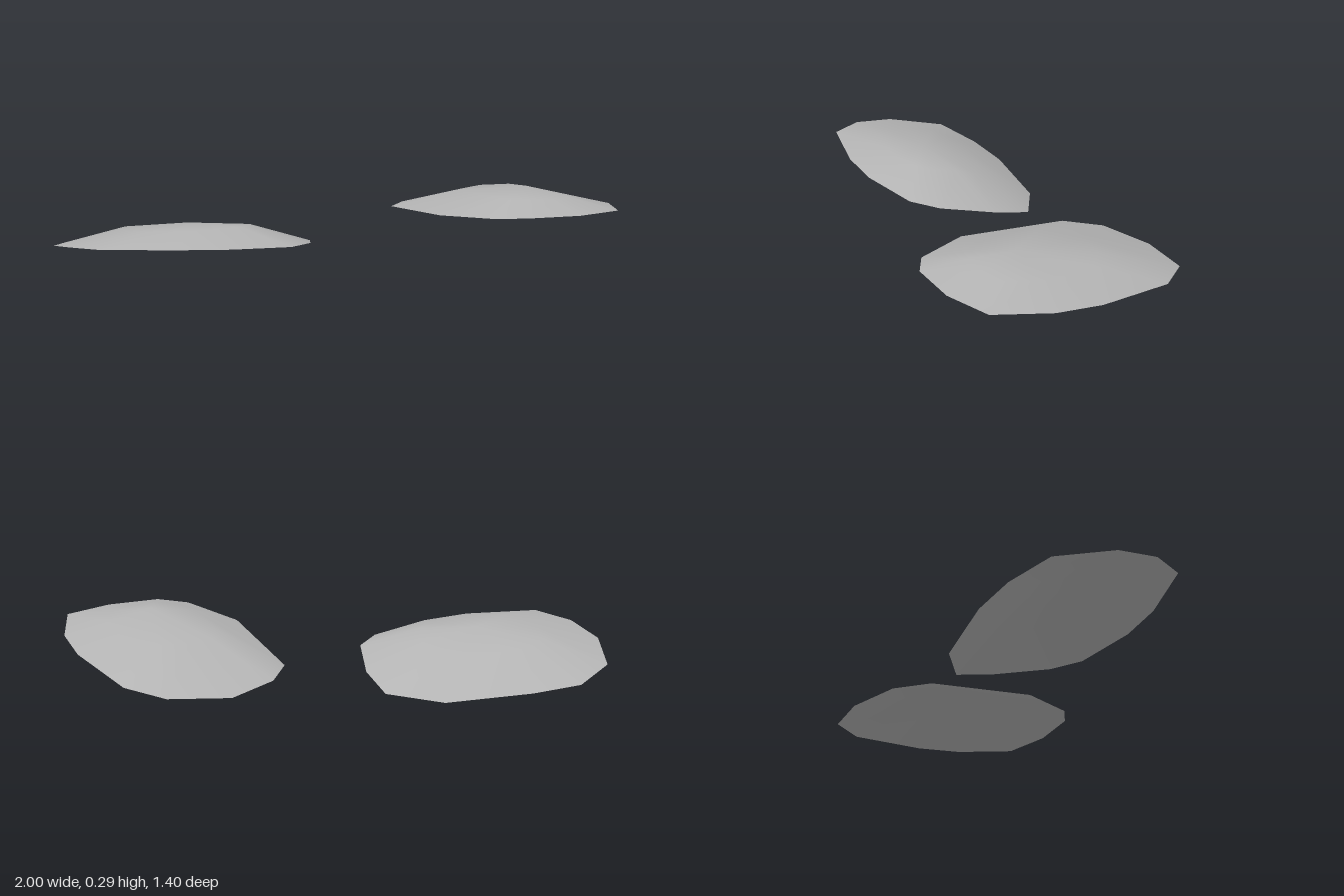
import * as THREE from 'three';

const grey = new THREE.MeshStandardMaterial({ color: 0xb4b4b4, side: THREE.DoubleSide });
grey.name = 'stone grey';

// Shallow domed sheet: each row is a rim point x, y, z and the height halfway to the crown
function domedSheet(name, crown, rows) {
  const n = rows.length;
  const pos = [...crown];
  for (const [x, y, z] of rows) pos.push(x, y, z);
  for (const [x, , z, h] of rows) pos.push((x + crown[0]) / 2, h, (z + crown[2]) / 2);
  const index = [];
  for (let i = 0; i < n; i++) {
    const j = (i + 1) % n;
    const a = 1 + i, b = 1 + j, c = 1 + n + i, d = 1 + n + j;
    index.push(0, d, c, c, d, b, c, b, a);
  }
  const geo = new THREE.BufferGeometry();
  geo.setAttribute('position', new THREE.Float32BufferAttribute(pos, 3));
  geo.setIndex(index);
  geo.computeVertexNormals();
  const mesh = new THREE.Mesh(geo, grey);
  mesh.name = name;
  return mesh;
}

export function createModel() {
  const group = new THREE.Group();
  group.name = 'domedSheets';

  // Lower sheet, tipped down toward the back
  group.add(domedSheet('lowerSheet', [-0.5, 0.173, 0.32], [
    [-1, 0.06, 0.31, 0.14],
    [-0.92, 0.02, 0.16, 0.125],
    [-0.76, 0.012, 0.04, 0.12],
    [-0.46, 0, -0.11, 0.11],
    [-0.24, 0.02, -0.12, 0.115],
    [-0.14, 0.06, 0, 0.145],
    [-0.07, 0.1, 0.2, 0.165],
    [-0.1, 0.11, 0.32, 0.17],
    [-0.26, 0.13, 0.5, 0.172],
    [-0.41, 0.14, 0.6, 0.175],
    [-0.67, 0.145, 0.7, 0.175],
    [-0.82, 0.13, 0.64, 0.165],
    [-0.94, 0.1, 0.52, 0.155],
  ]));

  // Upper sheet, rising toward the front left
  group.add(domedSheet('upperSheet', [0.65, 0.29, -0.14], [
    [0.4, 0.135, -0.7, 0.235],
    [0.57, 0.15, -0.66, 0.23],
    [0.82, 0.19, -0.45, 0.235],
    [0.93, 0.21, -0.3, 0.25],
    [1, 0.23, -0.09, 0.262],
    [0.89, 0.235, 0.06, 0.265],
    [0.73, 0.238, 0.17, 0.272],
    [0.61, 0.23, 0.18, 0.27],
    [0.38, 0.205, 0.07, 0.265],
    [0.1, 0.15, -0.27, 0.245],
    [0.1, 0.138, -0.42, 0.235],
    [0.2, 0.12, -0.59, 0.235],
  ]));

  return group;
}
